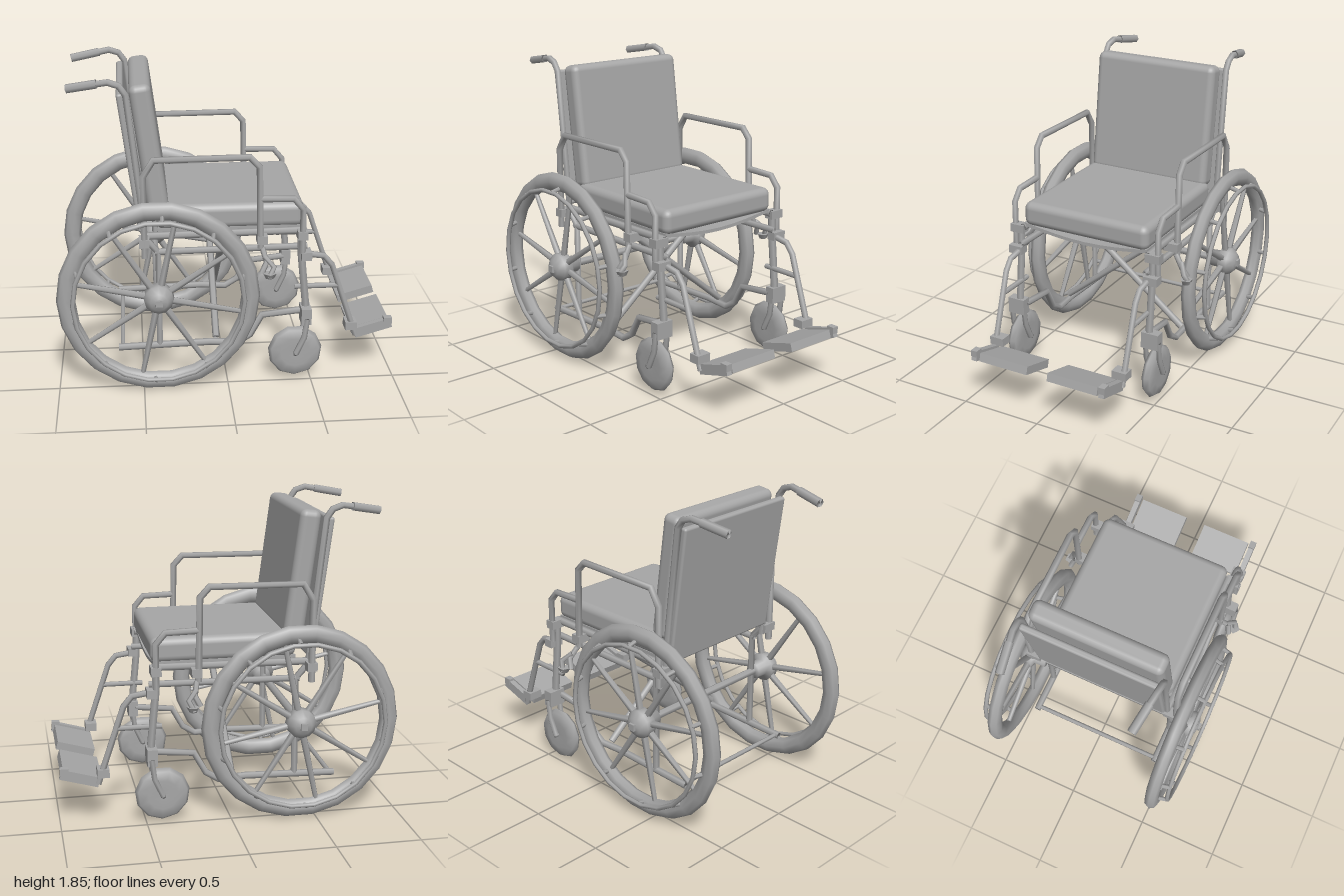
import * as THREE from 'three';
import { RoundedBoxGeometry } from 'three/addons/geometries/RoundedBoxGeometry.js';

const grey = new THREE.MeshStandardMaterial({ color: 0xa6a6a6, side: THREE.DoubleSide });
grey.name = 'grey';

// Polyline sampled exactly at its corners, with mitred joints
class Polyline extends THREE.Curve {
  constructor(points) {
    super();
    this.points = points;
  }
  index(u) { return Math.round(u * (this.points.length - 1)); }
  getPoint(u, target = new THREE.Vector3()) { return target.copy(this.points[this.index(u)]); }
  getPointAt(u, target) { return this.getPoint(u, target); }
  getTangentAt(u, target = new THREE.Vector3()) {
    const p = this.points, i = this.index(u), last = p.length - 1;
    const dir = (a, b) => p[b].clone().sub(p[a]).normalize();
    // end points are doubled so the end rings can close
    const before = i > 1 ? dir(i - 1, i) : dir(1, 2);
    const after = i < last - 1 ? dir(Math.max(i, 1), Math.max(i, 1) + 1) : dir(last - 2, last - 1);
    return target.copy(i >= last ? after : before.add(after)).normalize();
  }
}

function add(parent, name, geometry, x = 0, y = 0, z = 0) {
  const mesh = new THREE.Mesh(geometry, grey);
  mesh.name = name;
  mesh.position.set(x, y, z);
  parent.add(mesh);
  return mesh;
}

// Closed tube through [x, y, z] corners
function tube(parent, name, corners, r = 0.02, sides = 6) {
  const v = corners.map(c => new THREE.Vector3(...c));
  const pts = [v[0], ...v, v[v.length - 1]];
  const g = new THREE.TubeGeometry(new Polyline(pts), pts.length - 1, r, sides);
  const pos = g.attributes.position;
  for (let j = 0; j <= sides; j++) {
    pos.setXYZ(j, ...corners[0]);
    pos.setXYZ(pos.count - 1 - j, ...corners[corners.length - 1]);
  }
  return add(parent, name, g);
}

// Planar path at a fixed z
const flat = (z, pts) => pts.map(([x, y]) => [x, y, z]);

function driveWheel(s) {
  const wheel = new THREE.Group();
  wheel.name = 'driveWheel';
  wheel.position.set(-0.405, 0.6, 0);
  add(wheel, 'tire', new THREE.TorusGeometry(0.535, 0.055, 8, 22), 0, 0, s * 0.53).scale.z = 0.75;
  add(wheel, 'pushRim', new THREE.TorusGeometry(0.492, 0.014, 6, 22), 0, 0, s * 0.615);

  // Spokes, tapering outwards
  for (let i = 0; i < 8; i++) {
    const a = (33 + i * 45) * Math.PI / 180;
    const g = new THREE.CylinderGeometry(0.015, 0.022, 0.45, 5);
    g.translate(0, 0.27, 0);
    add(wheel, 'spoke', g, 0, 0, s * 0.535).rotation.z = a - Math.PI / 2;
  }
  // Studs between tire and push rim
  for (let i = 0; i < 10; i++) {
    const a = (15 + i * 36) * Math.PI / 180, c = Math.cos(a), n = Math.sin(a);
    tube(wheel, 'rimStud', [[c * 0.51, n * 0.51, s * 0.545], [c * 0.492, n * 0.492, s * 0.615]], 0.014, 5);
  }
  // Domed hub with a small cap
  const profile = [[0, -0.1], [0.05, -0.1], [0.055, -0.03], [0.09, -0.02], [0.085, 0.035], [0.05, 0.07], [0, 0.08]]
    .map(p => new THREE.Vector2(...p));
  add(wheel, 'hub', new THREE.LatheGeometry(profile, 12), 0, 0, s * 0.535).rotation.x = s * Math.PI / 2;
  add(wheel, 'hubCap', new THREE.BoxGeometry(0.04, 0.04, 0.03), 0, 0, s * 0.61);
  return wheel;
}

function caster(s) {
  const group = new THREE.Group();
  group.name = 'caster';
  const profile = [[0, -0.03], [0.09, -0.035], [0.145, -0.025], [0.163, 0], [0.145, 0.025], [0.09, 0.035], [0, 0.03]]
    .map(p => new THREE.Vector2(...p));
  add(group, 'casterWheel', new THREE.LatheGeometry(profile, 11), 0.405, 0.195, s * 0.465).rotation.x = Math.PI / 2;
  for (const z of [0.422, 0.508])
    tube(group, 'forkArm', flat(s * z, [[0.47, 0.42], [0.455, 0.3], [0.405, 0.19]]), 0.018);
  add(group, 'forkCrown', new THREE.BoxGeometry(0.06, 0.1, 0.11), 0.465, 0.43, s * 0.46);
  tube(group, 'casterAxle', [[0.405, 0.195, s * 0.41], [0.405, 0.195, s * 0.52]], 0.015);
  return group;
}

function sideFrame(s) {
  const frame = new THREE.Group();
  frame.name = 'sideFrame';
  const z = s * 0.42;
  // Back post, push handle and grip
  tube(frame, 'backPost', [[-0.47, 0.88, z], [-0.5, 1.2, z], [-0.565, 1.78, z], [-0.6, 1.83, z],
    [-0.66, 1.85, s * 0.415], [-0.75, 1.835, s * 0.4]], 0.02);
  tube(frame, 'handleGrip', [[-0.72, 1.84, s * 0.405], [-0.89, 1.81, s * 0.38]], 0.026);
  // Rails and posts
  tube(frame, 'seatRail', flat(z, [[-0.48, 0.94], [0.45, 0.95]]), 0.022);
  tube(frame, 'middleRail', flat(z, [[-0.42, 0.84], [0.47, 0.85]]), 0.02);
  tube(frame, 'frontPost', flat(s * 0.445, [[0.43, 0.96], [0.435, 0.8], [0.465, 0.5], [0.465, 0.4]]), 0.024);
  tube(frame, 'rearPost', flat(z, [[-0.47, 0.92], [-0.4, 0.84], [-0.4, 0.24]]), 0.02);
  tube(frame, 'lowerRail', flat(z, [[-0.645, 0.235], [-0.1, 0.25], [0.06, 0.24], [0.14, 0.29], [0.21, 0.415], [0.45, 0.44]]), 0.021);
  // Armrest and front guard
  tube(frame, 'armrest', flat(s * 0.48, [[-0.48, 0.83], [-0.48, 1.32], [-0.42, 1.415], [0.125, 1.42], [0.18, 1.36], [0.19, 0.87]]), 0.021);
  tube(frame, 'frontGuard', flat(s * 0.48, [[0.19, 1.17], [0.38, 1.165], [0.435, 1.1], [0.435, 0.83]]), 0.02);
  for (const [x, y] of [[-0.48, 0.92], [0.2, 0.92], [0.435, 0.94], [0.46, 0.81]])
    add(frame, 'clamp', new THREE.BoxGeometry(0.06, 0.05, 0.09), x, y, s * 0.455);
  // Brake lever
  tube(frame, 'brakeArm', [[0.2, 0.87, s * 0.48], [0.22, 0.8, s * 0.53], [0.19, 0.74, s * 0.55]], 0.017);
  tube(frame, 'brakeLever', [[0.21, 0.83, s * 0.52], [0.26, 0.78, s * 0.56], [0.23, 0.72, s * 0.58]], 0.016);
  add(frame, 'brakePad', new THREE.CylinderGeometry(0.04, 0.025, 0.03, 5), 0.235, 0.73, s * 0.565);
  // Footrest hanger and plate
  tube(frame, 'footrestHanger', flat(s * 0.435, [[0.44, 0.81], [0.57, 0.79], [0.62, 0.73], [0.775, 0.27]]), 0.019);
  tube(frame, 'footrestLink', flat(s * 0.435, [[0.4, 0.6], [0.66, 0.6]]), 0.016);
  const plate = add(frame, 'footPlate', new THREE.BoxGeometry(0.235, 0.05, 0.325), 0.87, 0.305, s * 0.23);
  plate.rotation.z = 0.28;
  const edge = add(frame, 'footPlateBracket', new THREE.BoxGeometry(0.23, 0.06, 0.035), 0.88, 0.31, s * 0.425);
  edge.rotation.z = 0.28;
  add(frame, 'footPlateHinge', new THREE.BoxGeometry(0.07, 0.05, 0.09), 0.745, 0.335, s * 0.415);
  add(frame, 'footPlateStop', new THREE.BoxGeometry(0.05, 0.04, 0.04), 0.97, 0.355, s * 0.425);
  return frame;
}

export function createModel() {
  const chair = new THREE.Group();
  chair.name = 'wheelchair';

  // Seat cushion with a sling sagging below it
  add(chair, 'seatCushion', new RoundedBoxGeometry(0.86, 0.15, 0.83, 3, 0.045), 0.025, 1.04, 0);
  const sling = new THREE.BoxGeometry(0.84, 0.02, 0.82, 1, 1, 8);
  const p = sling.attributes.position;
  for (let i = 0; i < p.count; i++) p.setY(i, p.getY(i) - 0.04 * Math.cos(p.getZ(i) * Math.PI / 0.82));
  sling.computeVertexNormals();
  add(chair, 'seatSling', sling, 0.02, 0.97, 0);

  // Leaning backrest with a panel behind it
  add(chair, 'backCushion', new RoundedBoxGeometry(0.125, 0.75, 0.8, 3, 0.04), -0.44, 1.45, 0).rotation.z = 0.13;
  add(chair, 'backPanel', new RoundedBoxGeometry(0.04, 0.83, 0.83, 2, 0.015), -0.545, 1.37, 0).rotation.z = 0.13;

  // Cross brace, axle and lower bar
  for (const s of [1, -1])
    tube(chair, 'crossBrace', [[-0.04 + s * 0.025, 0.95, s * 0.41], [-0.04 + s * 0.025, 0.28, -s * 0.42]], 0.021);
  tube(chair, 'axle', [[-0.405, 0.6, -0.5], [-0.405, 0.6, 0.5]], 0.024);
  tube(chair, 'lowerBar', [[-0.62, 0.235, -0.42], [-0.62, 0.235, 0.42]], 0.014);

  for (const s of [1, -1]) chair.add(driveWheel(s), caster(s), sideFrame(s));
  return chair;
}
